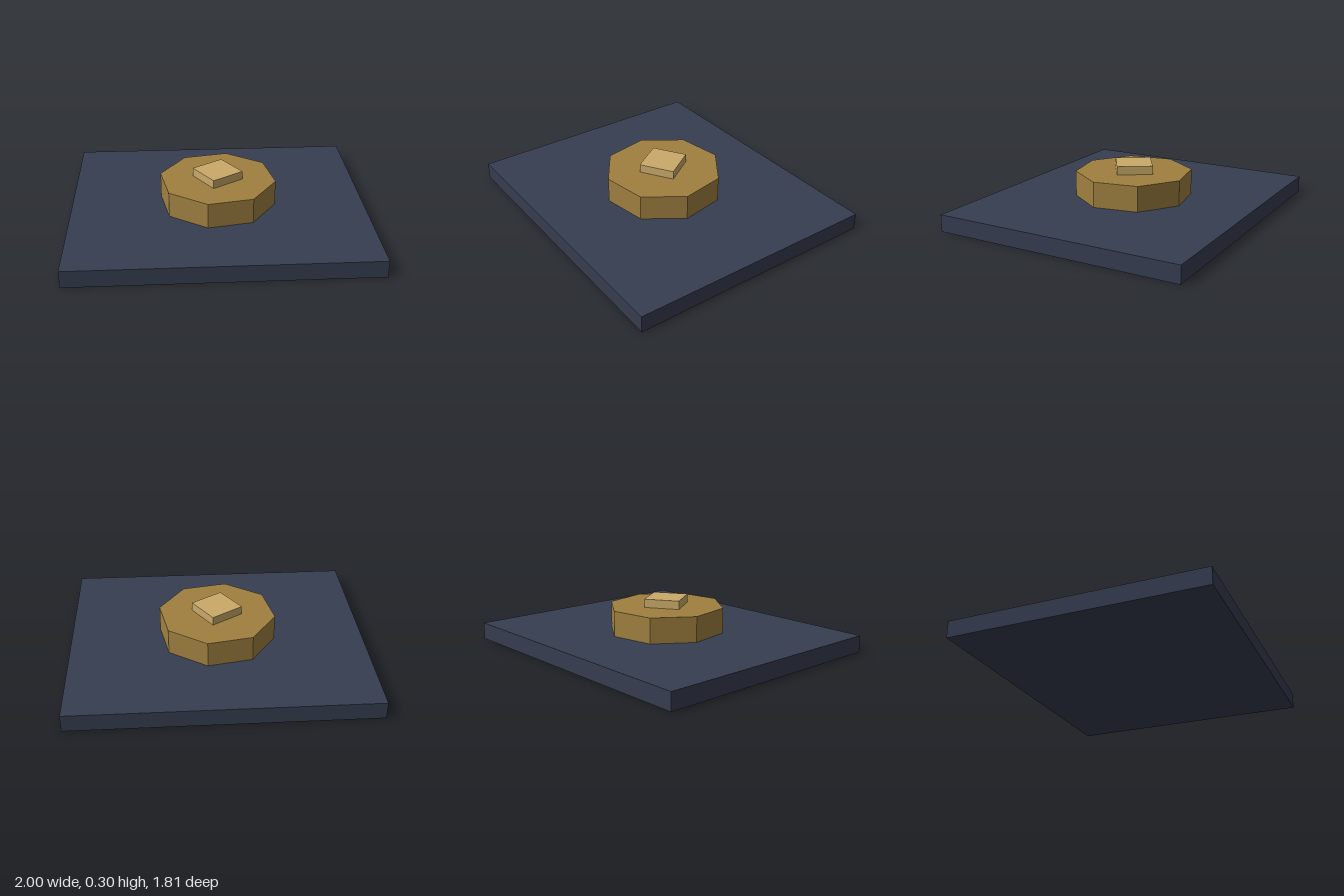
import * as THREE from 'three';

export function createModel() {
  const model = new THREE.Group();
  model.name = 'pedestal';

  const flat = (name, color) => {
    const m = new THREE.MeshStandardMaterial({ color, flatShading: true });
    m.name = name;
    return m;
  };
  const slate = flat('slate blue', 0x363d50);
  const bronze = flat('bronze', 0xa08040);
  const gold = flat('pale gold', 0xcaaa6a);

  const add = (name, geometry, material, y) => {
    const mesh = new THREE.Mesh(geometry, material);
    mesh.name = name;
    mesh.position.y = y;
    model.add(mesh);
    return mesh;
  };

  // Slab, turned slightly about the vertical
  add('baseSlab', new THREE.BoxGeometry(1.728, 0.1, 1.483), slate, 0.05).rotation.y = 0.21;
  // Eight-sided drum
  add('drum', new THREE.CylinderGeometry(0.345, 0.345, 0.15, 8), bronze, 0.175);
  // Four-sided cap, corners along the axes
  add('cap', new THREE.CylinderGeometry(0.148, 0.148, 0.05, 4), gold, 0.275);

  return model;
}
